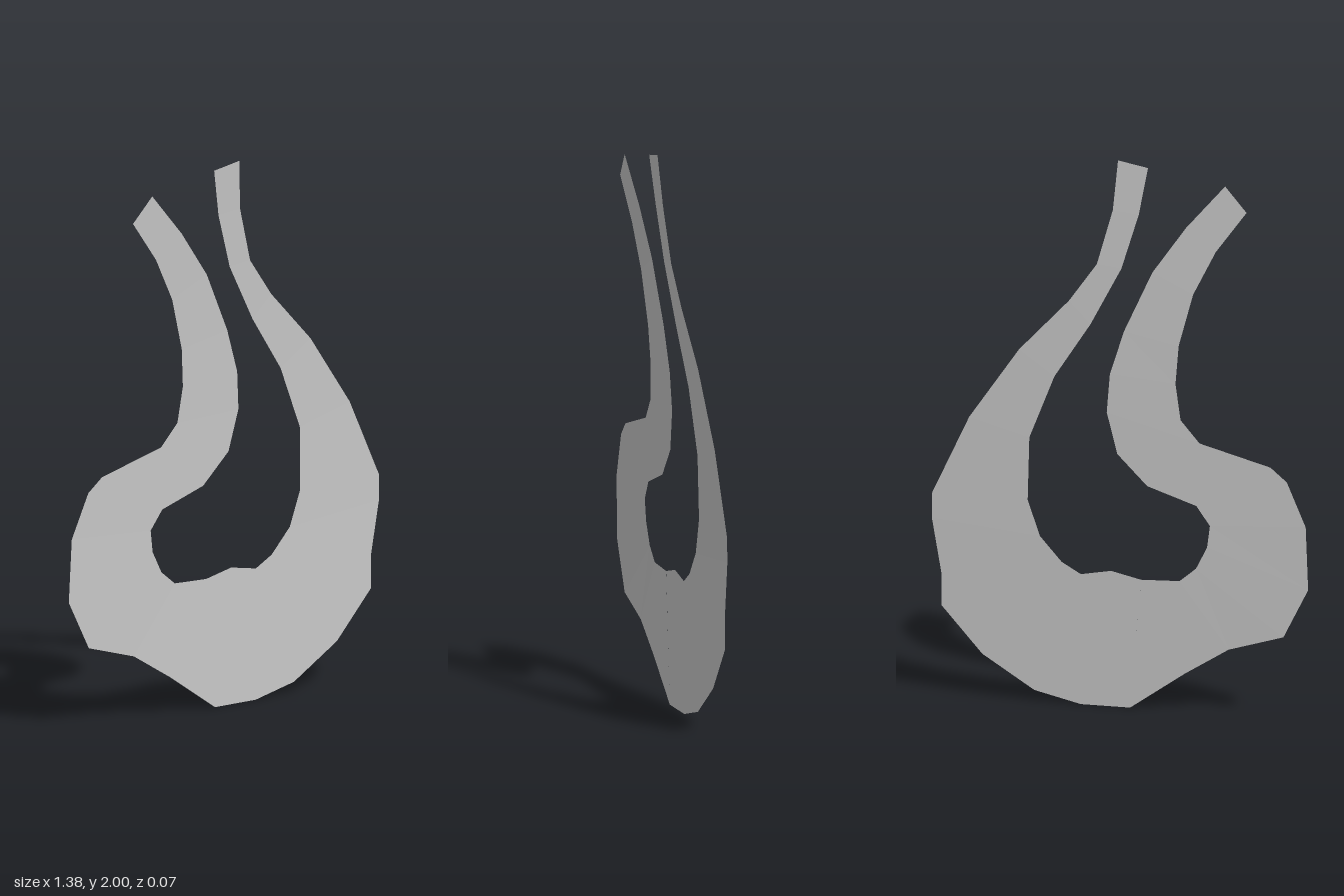
import * as THREE from 'three';

// Cross-sections along the band: outer x, outer y, inner x, inner y
const sections = [
  [-.45, 1.84, -.37, 1.93], [-.34, 1.69, -.23, 1.77], [-.26, 1.53, -.11, 1.6],
  [-.21, 1.34, -.01, 1.38], [-.2, 1.2, .04, 1.22], [-.22, 1.07, .05, 1.08],
  [-.29, .99, .01, .93], [-.29, .99, -.1, .82], [-.55, .92, -.28, .76],
  [-.61, .87, -.28, .76], [-.68, .71, -.33, .69], [-.69, .48, -.32, .61],
  [-.6, .3, -.28, .53], [-.4, .24, -.22, .48], [-.24, .14, -.08, .475],
  [-.04, 0, -.08, .475], [.14, 0, .03, .5], [.31, .04, .14, .48],
  [.5, .16, .21, .52], [.65, .33, .29, .61], [.65, .45, .29, .61],
  [.685, .65, .335, .74], [.685, .74, .335, .74], [.55, 1.03, .33, .97],
  [.37, 1.29, .24, 1.2], [.19, 1.48, .11, 1.4], [.09, 1.62, 0, 1.61],
  [.035, 1.82, -.06, 1.81], [.02, 2, -.09, 1.98],
];

// The sheet curls gently forward as it rises, a little more on the first arm
function curl(y, t) {
  const first = 0.0152 * Math.pow(y, 2.3);
  const second = 0.0079 * Math.pow(y, 3);
  return -0.033 + THREE.MathUtils.lerp(first, second, THREE.MathUtils.smoothstep(t, 0.3, 0.7));
}

export function createModel() {
  const grey = new THREE.MeshStandardMaterial({ color: 0xc8c8c8, side: THREE.DoubleSide, flatShading: true });
  grey.name = 'lightGrey';

  const positions = [];
  const indices = [];
  sections.forEach(([ox, oy, ix, iy], k) => {
    const t = k / (sections.length - 1);
    positions.push(ox, oy, curl(oy, t), ix, iy, curl(iy, t));
    if (k === 0) return;
    // Join to the previous section, skipping triangles where an edge repeats
    const p = sections[k - 1];
    const a = 2 * k - 2;
    if (p[0] !== ox || p[1] !== oy) indices.push(a, a + 2, a + 1);
    if (p[2] !== ix || p[3] !== iy) indices.push(a + 1, a + 2, a + 3);
  });

  const geometry = new THREE.BufferGeometry();
  geometry.setAttribute('position', new THREE.Float32BufferAttribute(positions, 3));
  geometry.setIndex(indices);
  geometry.computeVertexNormals();

  const band = new THREE.Mesh(geometry, grey);
  band.name = 'curvedBand';
  const group = new THREE.Group();
  group.name = 'openLoop';
  group.add(band);
  return group;
}
